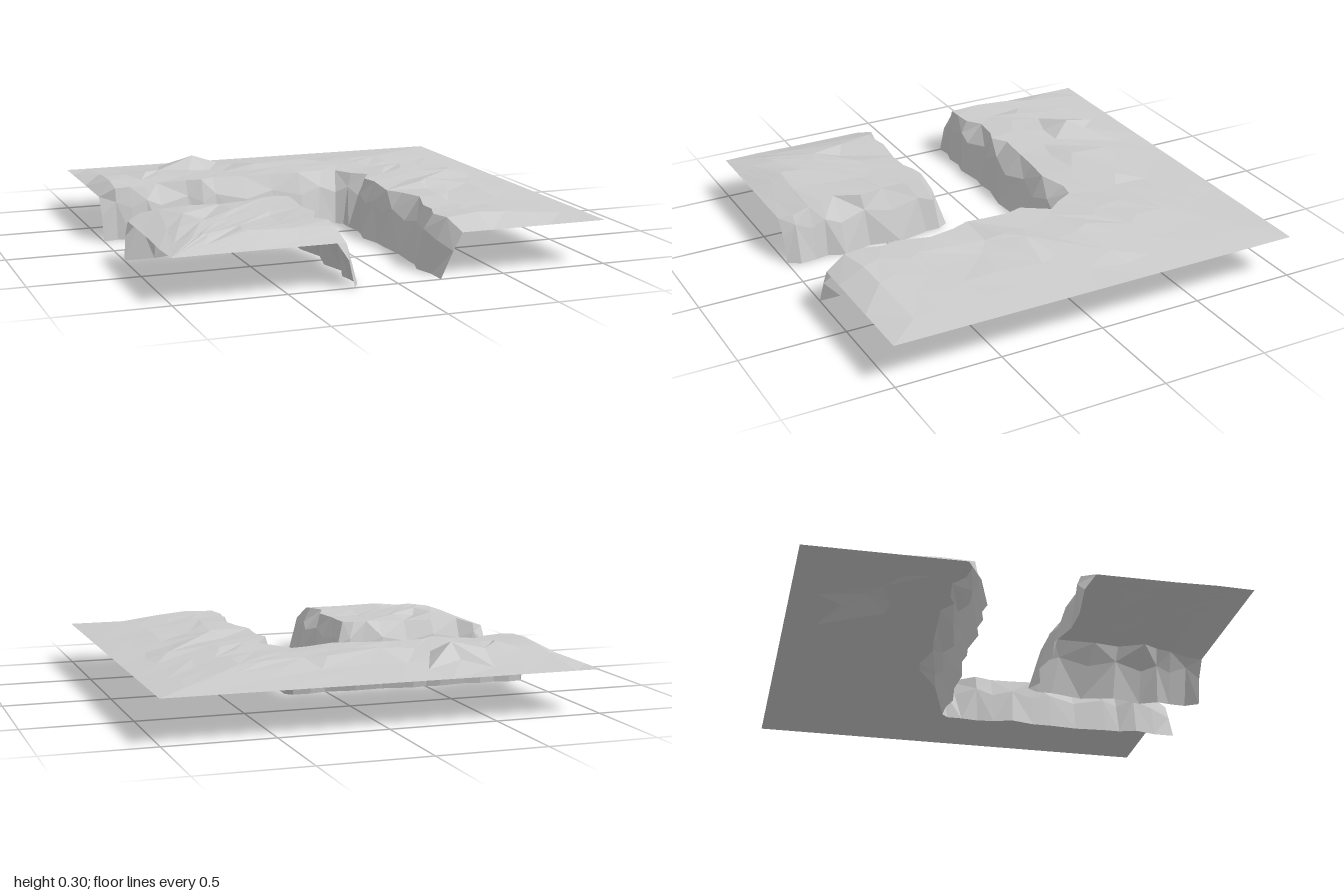
import * as THREE from 'three';

const EDGE = 0.2; // height of the tile border
const material = new THREE.MeshStandardMaterial({ color: 0xcccccc, flatShading: true, side: THREE.DoubleSide });

// Gently uneven ground that falls to the border; ramps = widths of the slopes at -x, +x, -z, +z
function groundHeight(x, z, ramps) {
  const [l, r, b, f] = ramps;
  const k = Math.max(0, Math.min(1, (1 + x) / l, (1 - x) / r, (1 + z) / b, (1 - z) / f));
  return EDGE + k * (0.05 + 0.008 * Math.sin(9 * x + 4 * z) * Math.cos(8 * z - 3 * x));
}

// Stations are [footX, footZ, rimX, rimZ]; ground rows run from the rim to the outer border
function buildBank(name, stations, outer, ramps, rows, landmarks) {
  const group = new THREE.Group();
  group.name = name;
  const n = stations.length;

  const ground = [];
  for (let j = 0; j <= rows; j++) {
    const t = j / rows;
    ground.push(stations.map(([, , rx, rz], i) => {
      const [ox, oz] = outer(rx, rz, i);
      const shift = j > 0 && j < rows && i > 0 && i < n - 1 ? (((i * 7 + j * 5) % 5) - 2) * 0.012 : 0;
      const x = rx + (ox - rx) * t + shift, z = rz + (oz - rz) * t - shift;
      return [x, groundHeight(x, z, ramps), z];
    }));
  }
  // Pull the nearest inner ground point onto each crest or hollow
  const used = new Set();
  for (const [x, y, z] of landmarks) {
    let best = null, bestD = Infinity;
    for (let j = 1; j < rows; j++) for (let i = 1; i < n - 1; i++) {
      const p = ground[j][i], d = Math.hypot(p[0] - x, p[2] - z);
      if (d < bestD && !used.has(p)) { best = p; bestD = d; }
    }
    used.add(best);
    best.splice(0, 3, x, y, z);
  }

  // Cliff: foot, bulging middle, rim
  const foot = stations.map(([x, z]) => [x, 0, z]);
  const middle = stations.map(([fx, fz, rx, rz], i) => {
    const t = 0.45 + 0.12 * ((i * 3) % 4 - 1.5) / 1.5;
    return [fx + (rx - fx) * t, i === 0 || i === n - 1 ? 0.12 : 0.15 + 0.03 * (i % 2), fz + (rz - fz) * t];
  });

  group.add(sheet('cliff', [foot, middle, ground[0]]), sheet('ground', ground));
  return group;
}

// Joins equal-length rows of points into a faceted surface
function sheet(name, rows) {
  const n = rows[0].length, index = [];
  for (let j = 0; j < rows.length - 1; j++) for (let i = 0; i < n - 1; i++) {
    const a = j * n + i, b = a + 1, c = a + n, d = c + 1;
    if ((i + j) % 2) index.push(a, b, c, b, d, c);
    else index.push(a, b, d, a, d, c);
  }
  const geometry = new THREE.BufferGeometry();
  geometry.setAttribute('position', new THREE.Float32BufferAttribute(rows.flat(2), 3));
  geometry.setIndex(index);
  geometry.computeVertexNormals();
  const mesh = new THREE.Mesh(geometry, material);
  mesh.name = name;
  return mesh;
}

export function createModel() {
  const model = new THREE.Group();
  model.name = 'riverBendTile';

  // Outer bank: along the back of the channel, round the bend, then to the front
  const back = [
    [-1, -0.2, -1, -0.28], [-0.93, -0.21, -0.93, -0.24], [-0.86, -0.19, -0.86, -0.24],
    [-0.78, -0.2, -0.78, -0.25], [-0.71, -0.18, -0.71, -0.3], [-0.57, -0.2, -0.57, -0.28],
    [-0.5, -0.19, -0.5, -0.25], [-0.43, -0.2, -0.43, -0.3], [-0.28, -0.17, -0.28, -0.29],
    [-0.14, -0.18, -0.14, -0.28], [0, -0.16, 0, -0.26], [0.08, -0.18, 0.14, -0.3],
    [0.17, -0.18, 0.21, -0.29],
  ];
  const side = [
    [0.2, -0.15, 0.26, -0.2], [0.2, -0.08, 0.32, -0.13], [0.21, 0, 0.25, 0], [0.2, 0.08, 0.27, 0.08],
    [0.175, 0.17, 0.26, 0.19], [0.2, 0.28, 0.25, 0.28], [0.2, 0.37, 0.29, 0.37], [0.21, 0.5, 0.32, 0.5],
    [0.2, 0.65, 0.27, 0.65], [0.2, 0.72, 0.28, 0.72], [0.175, 0.8, 0.25, 0.8],
    [0.2, 0.9, 0.27, 0.9], [0.2, 1, 0.3, 1],
  ];
  const corner = back.length - 1;
  const toBorder = (x, z, i) => i <= corner
    ? [-1 + 2 * (x + 1) / 1.21, -1]
    : [1, -1 + 2 * (z + 0.29) / 1.29];
  model.add(buildBank('outerBank', [...back, ...side], toBorder, [0.08, 0.5, 0.5, 0.08], 5, [
    [-0.43, 0.3, -0.65], [-0.43, 0.235, -0.76], [-0.71, 0.26, -0.51], [-0.14, 0.265, -0.51],
    [0.14, 0.255, -0.59], [0.52, 0.26, 0.12], [0.46, 0.265, 0.2], [0.53, 0.235, 0.35], [0.77, 0.235, -0.17],
  ]));

  // Inner bank: from the front, round the bend, then to the side, closing on the tile corner
  const inner = [
    [-0.2, 1, -0.28, 1], [-0.165, 0.94, -0.25, 0.94], [-0.17, 0.86, -0.24, 0.86], [-0.18, 0.8, -0.24, 0.79],
    [-0.145, 0.72, -0.28, 0.72], [-0.18, 0.58, -0.23, 0.6], [-0.145, 0.43, -0.25, 0.48],
    [-0.18, 0.28, -0.24, 0.36], [-0.18, 0.21, -0.24, 0.28], [-0.21, 0.16, -0.29, 0.25],
    [-0.28, 0.2, -0.36, 0.26], [-0.43, 0.16, -0.43, 0.28], [-0.57, 0.19, -0.57, 0.28],
    [-0.71, 0.16, -0.71, 0.26], [-0.86, 0.2, -0.86, 0.28], [-0.93, 0.2, -0.93, 0.23], [-1, 0.2, -1, 0.28],
  ];
  model.add(buildBank('innerBank', inner, () => [-1, 1], [0.16, 1, 1, 0.16], 4, [
    [-0.57, 0.255, 0.45], [-0.43, 0.24, 0.56], [-0.71, 0.235, 0.5],
  ]));

  return model;
}
